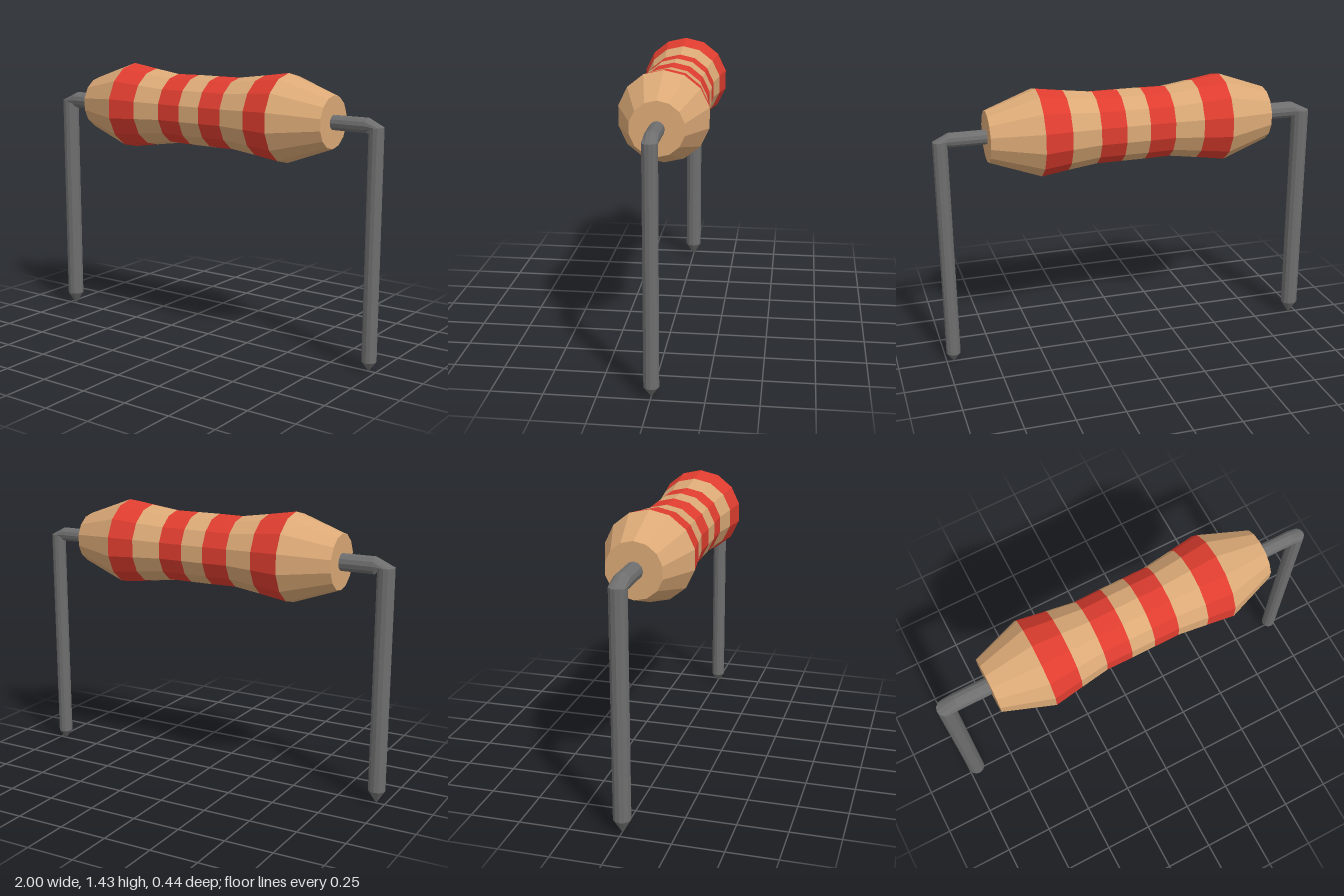
import * as THREE from 'three';

const AXIS_Y = 1.205;

// Faceted lead swept through rings: pointed tip, upright leg, mitred bend, horizontal wire.
function leadGeometry(side, r, legX, tipY, bendX, endX, sides = 12) {
  const upright = (y, k) => (c, s) => [side * (legX + k * c), y, k * s];
  const level = (x) => (c, s) => [side * x, AXIS_Y + r * c, r * s];
  const rings = [upright(0, 0), upright(tipY, r), upright(1.2, r), level(bendX), level(endX)];
  const pos = [], index = [];
  rings.forEach((ring, i) => {
    for (let j = 0; j < sides; j++) {
      const a = (j / sides) * Math.PI * 2;
      pos.push(...ring(Math.cos(a), Math.sin(a)));
      if (i === 0) continue;
      const n = (j + 1) % sides;
      const p = (i - 1) * sides + j, q = i * sides + j;
      const p2 = (i - 1) * sides + n, q2 = i * sides + n;
      const tris = [[p, q, q2], [p, q2, p2]];
      if (i === 1) tris.pop(); // the tip ring is a single point
      for (const [u, v, w] of tris) index.push(...(side > 0 ? [u, v, w] : [u, w, v]));
    }
  });
  const geo = new THREE.BufferGeometry();
  geo.setAttribute('position', new THREE.Float32BufferAttribute(pos, 3));
  geo.setIndex(index);
  geo.computeVertexNormals();
  return geo;
}

export function createModel() {
  const material = (name, color) =>
    new THREE.MeshStandardMaterial({ name, color, flatShading: true });
  const tan = material('tan', 0xdba976);
  const red = material('red', 0xdf3d2f);
  const grey = material('grey', 0x6e6e6e);
  grey.side = THREE.DoubleSide;

  const model = new THREE.Group();
  model.name = 'resistor';
  const add = (parent, name, geo, mat) => {
    const mesh = new THREE.Mesh(geo, mat);
    mesh.name = name;
    parent.add(mesh);
  };

  // Waisted 14-sided body, split along its length by colour; points are [radius, x].
  const body = new THREE.Group();
  body.name = 'body';
  body.position.y = AXIS_Y;
  model.add(body);
  const sections = [
    ['rightEnd', tan, [[0, -0.73], [0.139, -0.73], [0.226, -0.483]]],
    ['rightOuterBand', red, [[0.226, -0.483], [0.203, -0.335]]],
    ['rightShoulder', tan, [[0.203, -0.335], [0.182, -0.19]]],
    ['rightInnerBand', red, [[0.182, -0.19], [0.184, -0.057]]],
    ['waist', tan, [[0.184, -0.057], [0.184, 0.065]]],
    ['leftInnerBand', red, [[0.184, 0.065], [0.184, 0.195]]],
    ['leftShoulder', tan, [[0.184, 0.195], [0.203, 0.345]]],
    ['leftOuterBand', red, [[0.203, 0.345], [0.222, 0.483]]],
    ['leftEnd', tan, [[0.222, 0.483], [0.13, 0.735], [0, 0.735]]],
  ];
  for (const [name, mat, profile] of sections) {
    const points = profile.map(([r, x]) => new THREE.Vector2(r, x));
    const geo = new THREE.LatheGeometry(points, 14, Math.PI / 2);
    geo.rotateZ(-Math.PI / 2);
    add(body, name, geo, mat);
  }

  // Bent wire leads; the right one is slightly thicker.
  add(model, 'rightLead', leadGeometry(-1, 0.044, 0.956, 0.07, 0.9, 0.68), grey);
  add(model, 'leftLead', leadGeometry(1, 0.037, 0.963, 0.05, 0.92, 0.68), grey);

  return model;
}
